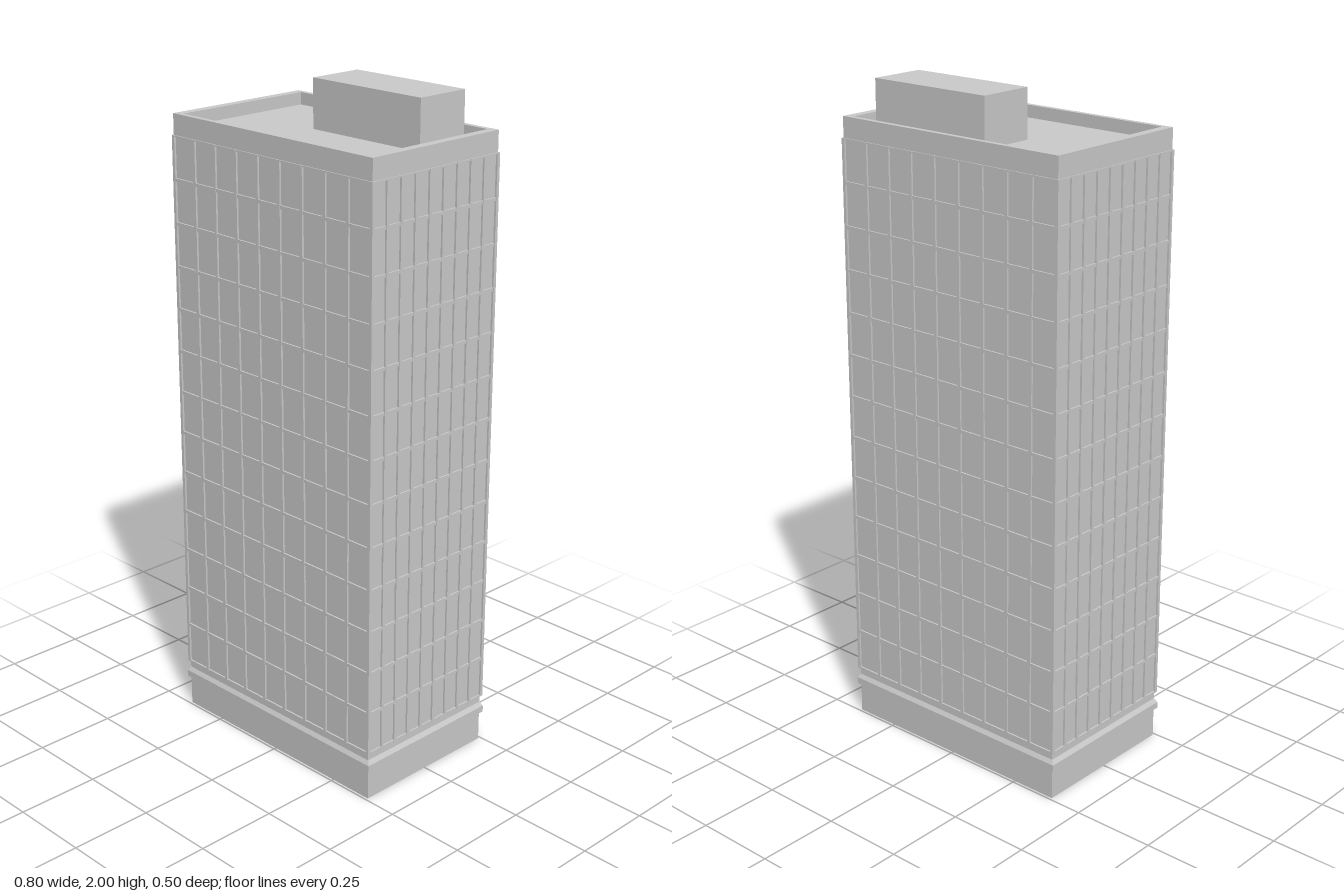
import * as THREE from 'three';

const HX = 0.393, HZ = 0.242;          // half sizes of the tower
const GRID_BOTTOM = 0.15, GRID_TOP = 1.83;
const BAYS = 9, FLOORS = 13;
const RIB = 0.01, OUT = 0.006;         // rib width and projection

export function createModel() {
  const group = new THREE.Group();
  const mat = new THREE.MeshStandardMaterial({ color: 0xcccccc, flatShading: true });

  const add = (name, geometry, parent = group) => {
    const mesh = new THREE.Mesh(geometry, mat);
    mesh.name = name;
    parent.add(mesh);
    return mesh;
  };
  // Box given by its lower and upper corners
  const box = (name, x0, y0, z0, x1, y1, z1, parent) =>
    add(name, new THREE.BoxGeometry(x1 - x0, y1 - y0, z1 - z0), parent)
      .position.set((x0 + x1) / 2, (y0 + y1) / 2, (z0 + z1) / 2);

  // Tower body, from the ground to the flat roof
  box('towerBody', -HX, 0, -HZ, HX, 1.855, HZ);

  // Base ledge: a straight band with a sloped top
  box('ledgeBand', -HX - 0.009, 0.095, -HZ - 0.007, HX + 0.009, 0.115, HZ + 0.007);
  const slope = new THREE.BoxGeometry(2, 0.013, 2);
  const p = slope.attributes.position;
  for (let i = 0; i < p.count; i++) {
    const o = p.getY(i) > 0 ? 0.001 : 0.008;
    p.setX(i, Math.sign(p.getX(i)) * (HX + o));
    p.setZ(i, Math.sign(p.getZ(i)) * (HZ + o - 0.001));
  }
  slope.computeVertexNormals();
  add('ledgeSlope', slope).position.y = 0.1215;

  // Facade grid: floor bands wrap the tower, mullions stand on all four sides
  const bands = new THREE.Group();
  bands.name = 'floorBands';
  const mullions = new THREE.Group();
  mullions.name = 'mullions';
  group.add(bands, mullions);

  const bandOut = OUT - 0.001;
  for (let i = 0; i <= FLOORS; i++) {
    const y = GRID_BOTTOM + (GRID_TOP - GRID_BOTTOM) * i / FLOORS;
    const y0 = Math.max(y - RIB / 2, GRID_BOTTOM), y1 = Math.min(y + RIB / 2, GRID_TOP);
    for (const s of [-1, 1]) {
      const z = s * (HZ + bandOut / 2), x = s * (HX + bandOut / 2);
      box('floorBand', -HX - bandOut, y0, z - bandOut / 2, HX + bandOut, y1, z + bandOut / 2, bands);
      box('floorBand', x - bandOut / 2, y0, -HZ, x + bandOut / 2, y1, HZ, bands);
    }
  }
  for (let i = 0; i <= BAYS; i++) {
    const t = 2 * i / BAYS - 1, x = t * (HX + 0.001), z = t * (HZ + 0.001);
    for (const s of [-1, 1]) {
      const fz = s * (HZ + OUT / 2), fx = s * (HX + OUT / 2);
      box('mullion', x - RIB / 2, GRID_BOTTOM, fz - OUT / 2, x + RIB / 2, GRID_TOP, fz + OUT / 2, mullions);
      box('mullion', fx - OUT / 2, GRID_BOTTOM, z - RIB / 2, fx + OUT / 2, GRID_TOP, z + RIB / 2, mullions);
    }
  }

  // Parapet ring around the sunken roof
  const rect = (Type, a, b) => {
    const r = new Type();
    r.moveTo(-a, -b).lineTo(a, -b).lineTo(a, b).lineTo(-a, b).closePath();
    return r;
  };
  const ring = rect(THREE.Shape, HX + 0.002, HZ + 0.002);
  ring.holes.push(rect(THREE.Path, 0.368, 0.228));
  const parapet = new THREE.ExtrudeGeometry(ring, { depth: 0.062, bevelEnabled: false });
  parapet.rotateX(-Math.PI / 2);
  add('parapet', parapet).position.y = 1.83;

  // Rooftop plant room, set towards the back left
  box('plantRoom', -0.09, 1.85, -0.187, 0.32, 2, -0.012);

  return group;
}
